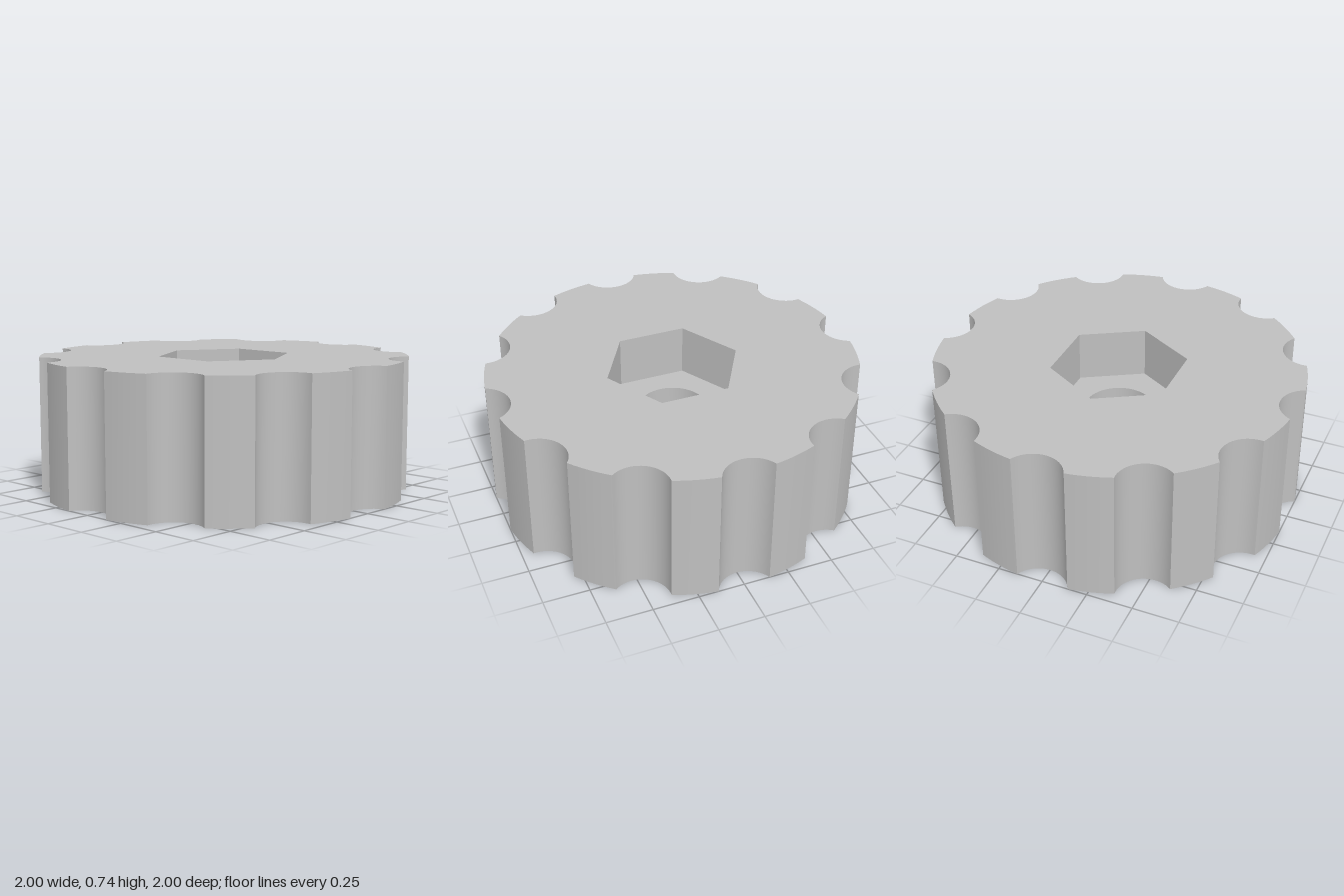
import * as THREE from 'three';
import { toCreasedNormals } from 'three/addons/utils/BufferGeometryUtils.js';

const HEIGHT = 0.74, RADIUS = 1.01;
const GRIPS = 12, GRIP_CENTRE = 1.06, GRIP_RADIUS = 0.155, GRIP_HALF_ANGLE = 0.142;
const HEX_RADIUS = 0.372, HEX_FLOOR = 0.455;
const BORE_RADIUS = 0.192, SINK_RADIUS = 0.385, SINK_TOP = 0.193;
const ROUND = 64;

// Points on an arc from angle a to angle b, leaving out the last one
function arc(cx, cy, r, a, b, n) {
  return Array.from({ length: n }, (_, i) => {
    const t = a + ((b - a) * i) / n;
    return new THREE.Vector2(cx + r * Math.cos(t), cy + r * Math.sin(t));
  });
}

const ring = (r, n) => arc(0, 0, r, 0, Math.PI * 2, n);

// Outer outline: rim lands alternating with scooped finger grips
function knobOutline() {
  const pts = [], step = (Math.PI * 2) / GRIPS;
  const swing = Math.atan2(
    RADIUS * Math.sin(GRIP_HALF_ANGLE), RADIUS * Math.cos(GRIP_HALF_ANGLE) - GRIP_CENTRE);
  for (let i = 0; i < GRIPS; i++) {
    const mid = i * step;
    pts.push(...arc(GRIP_CENTRE * Math.cos(mid), GRIP_CENTRE * Math.sin(mid), GRIP_RADIUS,
      mid - swing, mid + swing - Math.PI * 2, 20));
    pts.push(...arc(0, 0, RADIUS, mid + GRIP_HALF_ANGLE, mid + step - GRIP_HALF_ANGLE, 6));
  }
  return pts;
}

// Upright wall along a closed outline; inward turns it to face the axis
function wall(outline, y0, y1, inward = false) {
  const pts = inward ? [...outline].reverse() : outline;
  const pos = [];
  pts.forEach((p, i) => {
    const q = pts[(i + 1) % pts.length];
    pos.push(p.x, y0, -p.y, q.x, y0, -q.y, q.x, y1, -q.y);
    pos.push(p.x, y0, -p.y, q.x, y1, -q.y, p.x, y1, -p.y);
  });
  const geo = new THREE.BufferGeometry();
  geo.setAttribute('position', new THREE.Float32BufferAttribute(pos, 3));
  return toCreasedNormals(geo, 0.5);
}

// Level face with a hole, looking up or down
function face(outline, hole, y, up = true) {
  const shape = new THREE.Shape(outline);
  shape.holes.push(new THREE.Path(hole));
  return new THREE.ShapeGeometry(shape)
    .rotateX(up ? -Math.PI / 2 : Math.PI / 2)
    .translate(0, y, 0);
}

export function createModel() {
  const group = new THREE.Group();
  group.name = 'gripKnob';
  const grey = new THREE.MeshStandardMaterial({ color: 0xbfbfbf });
  grey.name = 'grey';

  const add = (name, geo) => {
    const mesh = new THREE.Mesh(geo, grey);
    mesh.name = name;
    group.add(mesh);
  };

  const outline = knobOutline();
  const hex = ring(HEX_RADIUS, 6);
  const bore = ring(BORE_RADIUS, ROUND);

  // Body
  add('scallopedRim', wall(outline, 0, HEIGHT));
  add('topFace', face(outline, hex, HEIGHT));
  add('bottomFace', face(outline, ring(SINK_RADIUS, ROUND), 0, false));

  // Hexagonal nut pocket
  add('hexPocketWall', wall(hex, HEX_FLOOR, HEIGHT, true));
  add('hexPocketFloor', face(hex, bore, HEX_FLOOR));

  // Through bore opening into a countersink underneath
  const profile = [[BORE_RADIUS, HEX_FLOOR], [BORE_RADIUS, SINK_TOP], [SINK_RADIUS, 0]]
    .map(([r, y]) => new THREE.Vector2(r, y));
  add('boreAndCountersink', toCreasedNormals(new THREE.LatheGeometry(profile, ROUND), 0.5));

  return group;
}
